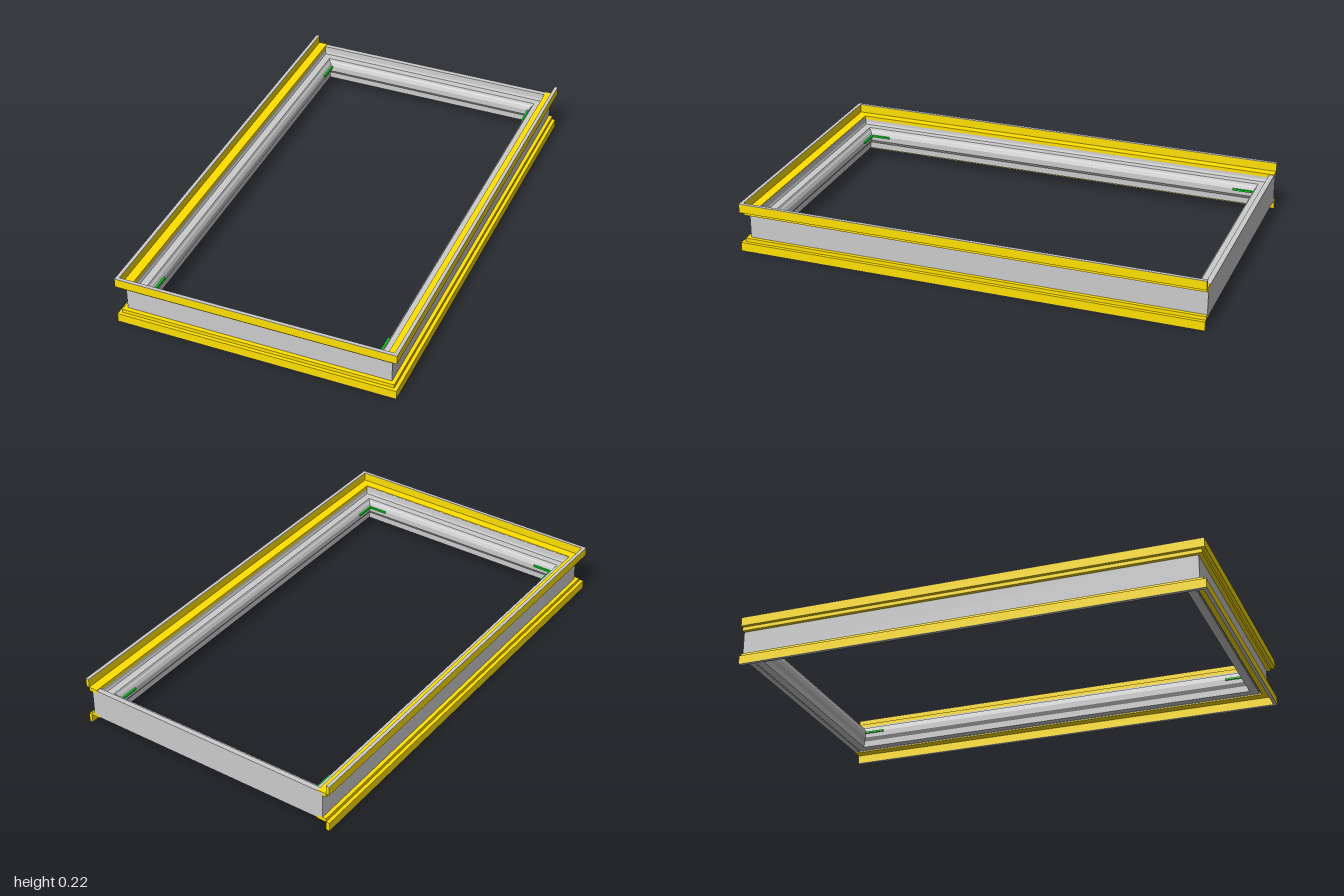
import * as THREE from 'three';

const material = (color) => new THREE.MeshStandardMaterial({ color, flatShading: true, side: THREE.DoubleSide });
const grey = material(0xcccccc), yellow = material(0xffe000), green = material(0x00e020);

// Sweep a profile of [inset, height] points round a mitred rectangle.
// An open sweep leaves out the back side and is capped at both ends.
function sweep(name, profile, mat, { x, back, front, open = false }) {
  const corners = ([d, y]) => {
    const zb = open ? back : back + d;
    return [[-x + d, y, zb], [-x + d, y, front - d], [x - d, y, front - d], [x - d, y, zb]];
  };
  const rings = profile.map(corners);
  const n = rings.length, pos = [];
  const tri = (a, b, c) => pos.push(...a, ...b, ...c);
  for (let j = 0; j < n; j++) {
    const p = rings[j], q = rings[(j + 1) % n];
    for (let i = 0; i < (open ? 3 : 4); i++) {
      const k = (i + 1) % 4;
      tri(p[i], p[k], q[k]);
      tri(p[i], q[k], q[i]);
    }
  }
  if (open) {
    const contour = profile.map(([d, y]) => new THREE.Vector2(d, y));
    for (const [a, b, c] of THREE.ShapeUtils.triangulateShape(contour, [])) {
      tri(rings[a][0], rings[b][0], rings[c][0]);
      tri(rings[a][3], rings[c][3], rings[b][3]);
    }
  }
  const geometry = new THREE.BufferGeometry();
  geometry.setAttribute('position', new THREE.Float32BufferAttribute(pos, 3));
  geometry.computeVertexNormals();
  const mesh = new THREE.Mesh(geometry, mat);
  mesh.name = name;
  return mesh;
}

export function createModel() {
  const model = new THREE.Group();
  model.name = 'windowFrame';
  const H = 0.216;

  // Main frame: outer wall, stepped inner shelf and innermost lip
  const wall = { x: 0.567, back: -1, front: 0.967 };
  model.add(sweep('mainFrame', [
    [0, 0.042], [0, 0.175], [0.022, 0.175], [0.024, 0.15], [0.028, 0.14],
    [0.06, 0.14], [0.064, 0.13], [0.07, 0.125], [0.077, 0.11],
    [0.077, 0.085], [0.066, 0.07], [0.066, 0.042],
    [0.03, 0.042], [0.03, 0.05], [0.024, 0.05], [0.024, 0.042],
  ], grey, wall));

  // Angled rails on three sides, top and mirrored at the bottom, with grey edges
  const rail = { x: 0.598, back: -1, front: 1, open: true };
  const railProfile = [
    [0, 0.177], [0, H - 0.002], [0.015, H - 0.002], [0.015, 0.178],
    [0.054, 0.178], [0.054, 0.161], [0.015, 0.161], [0.015, 0.177],
  ];
  const edgeProfile = [[0, H - 0.002], [0, H], [0.015, H], [0.015, H - 0.002]];
  const mirrored = (profile) => profile.map(([d, y]) => [d, H - y]).reverse();
  model.add(
    sweep('topRail', railProfile, yellow, rail),
    sweep('topRailEdge', edgeProfile, grey, rail),
    sweep('bottomRail', mirrored(railProfile), yellow, rail),
    sweep('bottomRailEdge', mirrored(edgeProfile), grey, rail),
  );

  // Small corner pads inside the opening
  const pad = (w, d, x, z) => {
    const mesh = new THREE.Mesh(new THREE.BoxGeometry(w, 0.008, d), green);
    mesh.name = 'cornerPad';
    mesh.position.set(x, 0.108, z);
    model.add(mesh);
  };
  for (const s of [-1, 1]) {
    pad(0.008, 0.09, s * 0.487, -0.878);
    pad(0.008, 0.09, s * 0.487, 0.845);
    pad(0.09, 0.008, s * 0.446, 0.887);
  }
  return model;
}
